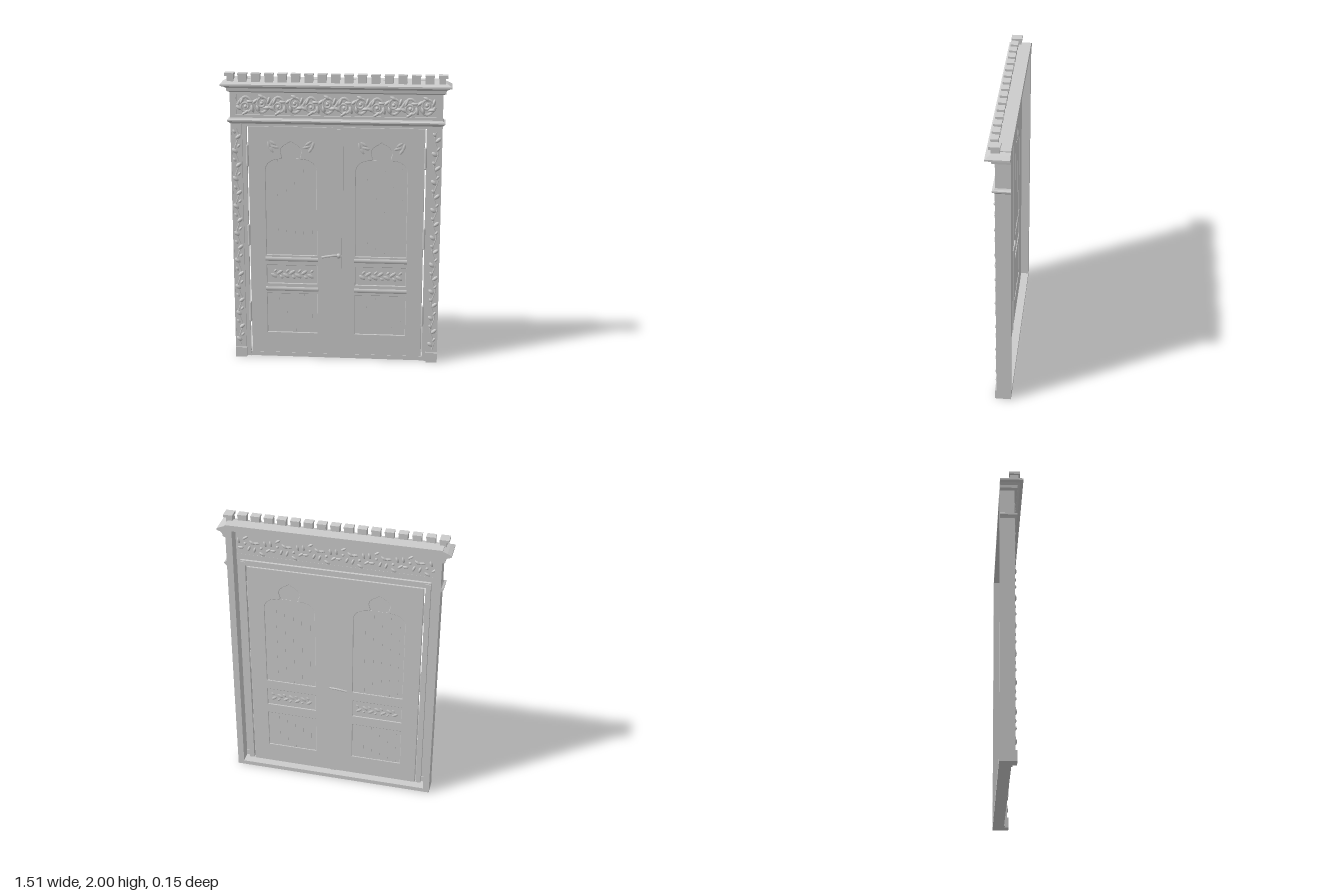
import * as THREE from 'three';

const mat = new THREE.MeshStandardMaterial({ color: 0xcccccc, side: THREE.DoubleSide });
const SIDES = [-1, 1];

function add(parent, name, geo, x = 0, y = 0, z = 0) {
  const m = new THREE.Mesh(geo, mat);
  m.name = name;
  m.position.set(x, y, z);
  parent.add(m);
  return m;
}

// box given by its limits
function slab(parent, name, x0, x1, y0, y1, z0, z1) {
  return add(parent, name, new THREE.BoxGeometry(Math.abs(x1 - x0), y1 - y0, z1 - z0),
    (x0 + x1) / 2, (y0 + y1) / 2, (z0 + z1) / 2);
}

function rect(x0, x1, y0, y1, Type = THREE.Shape) {
  return new Type([[x0, y0], [x1, y0], [x1, y1], [x0, y1]].map(p => new THREE.Vector2(...p)));
}

// plate with holes, between two depths
function plate(parent, name, shape, z0, z1, bevel = 0) {
  const geo = new THREE.ExtrudeGeometry(shape, {
    depth: z1 - z0 - 2 * bevel, curveSegments: 10, bevelEnabled: bevel > 0,
    bevelThickness: bevel, bevelSize: bevel, bevelOffset: -bevel, bevelSegments: 2,
  });
  return add(parent, name, geo, 0, 0, z0 + bevel);
}

const leafGeo = new THREE.SphereGeometry(1, 10, 8);
function leaf(parent, x, y, z, length, width, angle, thick) {
  const m = add(parent, 'carvedLeaf', leafGeo, x, y, z);
  m.scale.set(length, width, thick);
  m.rotation.z = angle;
}

function stem(parent, name, points, radius, segments = 24) {
  const curve = new THREE.CatmullRomCurve3(points.map(p => new THREE.Vector3(...p)));
  return add(parent, name, new THREE.TubeGeometry(curve, segments, radius, 6), 0, 0, 0);
}

// moulding of [outward, y] points, mitred around the front and both sides
function moulding(parent, name, profile) {
  const ring = ([o, y]) => [[-0.7 - o, y, -0.08], [-0.7 - o, y, 0.016 + o], [0.7 + o, y, 0.016 + o], [0.7 + o, y, -0.08]];
  const v = [];
  for (let i = 0; i < profile.length - 1; i++) {
    const a = ring(profile[i]), b = ring(profile[i + 1]);
    for (let j = 0; j < 3; j++) v.push(...a[j], ...a[j + 1], ...b[j + 1], ...a[j], ...b[j + 1], ...b[j]);
  }
  const geo = new THREE.BufferGeometry();
  geo.setAttribute('position', new THREE.Float32BufferAttribute(v, 3));
  geo.computeVertexNormals();
  add(parent, name, geo);
  // flat ends at the back
  for (const s of SIDES) {
    const pts = profile.map(([o, y]) => new THREE.Vector2(s * (0.7 + o), y));
    pts.push(new THREE.Vector2(s * 0.67, profile.at(-1)[1]), new THREE.Vector2(s * 0.67, profile[0][1]));
    add(parent, name + 'End', new THREE.ShapeGeometry(new THREE.Shape(pts)), 0, 0, -0.08).rotation.set(0, 0, 0);
  }
}

// arched opening with a rounded lobe on top, centred on cx
function archHole(cx) {
  const p = new THREE.Path();
  p.moveTo(cx - 0.172, 0.745);
  p.lineTo(cx + 0.172, 0.745);
  p.lineTo(cx + 0.172, 1.34);
  p.bezierCurveTo(cx + 0.168, 1.39, cx + 0.13, 1.415, cx + 0.065, 1.418);
  p.bezierCurveTo(cx + 0.055, 1.43, cx + 0.065, 1.44, cx + 0.07, 1.465);
  p.bezierCurveTo(cx + 0.07, 1.51, cx + 0.03, 1.515, cx, 1.54);
  p.bezierCurveTo(cx - 0.03, 1.515, cx - 0.07, 1.51, cx - 0.07, 1.465);
  p.bezierCurveTo(cx - 0.065, 1.44, cx - 0.055, 1.43, cx - 0.065, 1.418);
  p.bezierCurveTo(cx - 0.13, 1.415, cx - 0.168, 1.39, cx - 0.172, 1.34);
  p.closePath();
  return p;
}

function doorLeaf(s) {
  const g = new THREE.Group();
  g.name = s > 0 ? 'leftDoor' : 'rightDoor';
  const cx = s * 0.303, x0 = cx - 0.172, x1 = cx + 0.172;
  const inner = s > 0 ? 0.012 : -0.012;
  const shape = rect(Math.min(inner, s * 0.588), Math.max(inner, s * 0.588), 0.005, 1.64);
  shape.holes.push(archHole(cx), rect(x0, x1, 0.54, 0.67, THREE.Path), rect(x0, x1, 0.18, 0.465, THREE.Path));
  plate(g, 'doorFrame', shape, -0.026, -0.006, 0.003);
  slab(g, 'recessedPanel', x0 - 0.01, x1 + 0.01, 0.17, 1.55, -0.02, -0.016);

  // plank beads in the window and lower panel
  for (let i = -2; i <= 2; i++) {
    const x = cx + i * 0.058;
    for (const [y0, y1] of [[0.18, 0.465], [0.745, 1.42]]) slab(g, 'plankBead', x - 0.024, x + 0.024, y0, y1, -0.022, -0.0145);
  }
  // rounded sills between the panels
  for (const y of [0.715, 0.5]) {
    const sill = add(g, 'sill', new THREE.CylinderGeometry(1, 1, 0.36, 16), cx, y, -0.013);
    sill.rotation.z = Math.PI / 2;
    sill.scale.set(0.018, 1, 0.013);
  }
  // carving in the middle panel
  for (let i = 0; i < 7; i++) {
    const u = i - 3, up = i % 2 ? 1 : -1;
    leaf(g, cx + u * 0.042, 0.605 + up * 0.012, -0.017, 0.027, 0.012, up * 0.6, 0.007);
    leaf(g, cx + u * 0.042 + 0.01, 0.605 - up * 0.022, -0.017, 0.016, 0.009, -up * 0.8, 0.006);
  }
  // leaves in the corners above the arch
  for (const k of SIDES) for (let i = 0; i < 4; i++) {
    leaf(g, cx + k * (0.105 + i * 0.014), 1.5 + (i % 2) * 0.035 - i * 0.008, -0.01, 0.034, 0.012, k * (0.25 + i * 0.35), 0.007);
  }
  // hinges
  for (const y of [1.44, 0.885, 0.33]) {
    add(g, 'hinge', new THREE.CylinderGeometry(0.009, 0.009, 0.13, 10), s * 0.593, y, 0);
    for (const e of SIDES) add(g, 'hingeTip', new THREE.SphereGeometry(0.009, 8, 6), s * 0.593, y + e * 0.067, 0);
  }
  return g;
}

function pilaster(s) {
  const g = new THREE.Group();
  g.name = s > 0 ? 'leftPilaster' : 'rightPilaster';
  slab(g, 'pilasterFace', s * 0.625, s * 0.7, 0, 1.67, 0, 0.015);
  slab(g, 'pilasterBase', s * 0.622, s * 0.7, 0, 0.07, -0.005, 0.029);
  slab(g, 'jamb', s * 0.596, s * 0.63, 0, 1.67, -0.025, 0.002);
  for (const x of [0.629, 0.696]) slab(g, 'edgeBead', s * (x - 0.004), s * (x + 0.004), 0.07, 1.67, 0.005, 0.018);
  // climbing vine
  const vine = [];
  for (let i = 0; i <= 32; i++) vine.push([s * (0.662 + 0.014 * Math.sin(i * Math.PI / 2)), 0.09 + i * 0.048, 0.014]);
  stem(g, 'vine', vine, 0.005, 100);
  for (let i = 0; i < 16; i++) {
    const k = i % 2 ? 1 : -1, y = 0.13 + i * 0.096;
    leaf(g, s * 0.662 + k * 0.012, y, 0.014, 0.024, 0.013, k * 0.7, 0.014);
    leaf(g, s * 0.662 - k * 0.014, y + 0.035, 0.014, 0.016, 0.009, -k * 0.9, 0.01);
  }
  return g;
}

function frieze() {
  const g = new THREE.Group();
  g.name = 'frieze';
  const border = rect(-0.7, 0.7, 1.665, 1.885);
  border.holes.push(rect(-0.663, 0.663, 1.718, 1.856, THREE.Path));
  plate(g, 'friezeBorder', border, -0.004, 0.016);
  slab(g, 'friezePanel', -0.67, 0.67, 1.71, 1.865, -0.003, 0.002);
  // waving stem with a spiral and leaves in each bend
  const n = 12, step = 1.3 / n, wave = [];
  for (let i = 0; i <= n * 4; i++) wave.push([-0.65 + i * step / 4, 1.787 + 0.052 * Math.sin(i * Math.PI / 4), 0.008]);
  stem(g, 'scrollStem', wave, 0.01, 140);
  for (let i = 0; i < n; i++) {
    const up = i % 2 ? 1 : -1, cx = -0.65 + (i + 0.5) * step, cy = 1.787 + up * 0.012;
    const spiral = [];
    for (let k = 0; k <= 12; k++) {
      const a = up * (k * 0.65 + 0.3), r = 0.042 - k * 0.0026;
      spiral.push([cx + r * Math.cos(a), cy + r * Math.sin(a), 0.01 + k * 0.0006]);
    }
    stem(g, 'scroll', spiral, 0.008, 32);
    leaf(g, cx, cy, 0.01, 0.013, 0.013, 0, 0.022);
    for (let k = 0; k < 5; k++) {
      const a = up * (0.4 + k * 1.25);
      leaf(g, cx + 0.048 * Math.cos(a), cy + 0.042 * Math.sin(a), 0.007, 0.026, 0.011, a + up * 0.9, 0.018);
    }
  }
  return g;
}

function cornice() {
  const g = new THREE.Group();
  g.name = 'cornice';
  moulding(g, 'crownMoulding', [[0, 1.87], [0.018, 1.88], [0.02, 1.9], [0.035, 1.912], [0.056, 1.918], [0.056, 1.93], [0.03, 1.943], [-0.016, 1.96]]);
  slab(g, 'topCap', -0.7, 0.7, 1.945, 1.96, -0.08, 0.002);
  // tooth row, with flared corner teeth
  for (let i = -8; i <= 8; i++) {
    const x = i * 0.0872, end = Math.abs(i) === 8;
    if (!end) {
      slab(g, 'tooth', x - 0.028, x + 0.028, 1.93, 1.992, 0.002, 0.046);
      slab(g, 'toothCap', x - 0.03, x + 0.03, 1.988, 2, 0, 0.05);
    } else {
      const s = Math.sign(i);
      slab(g, 'cornerTooth', s * 0.67, s * 0.712, 1.93, 1.985, -0.015, 0.04);
      slab(g, 'cornerToothCap', s * 0.668, s * 0.728, 1.982, 2, -0.02, 0.052);
    }
  }
  return g;
}

export function createModel() {
  const model = new THREE.Group();
  model.name = 'doubleDoor';

  // deep surround, open at the back
  const surround = rect(-0.7, 0.7, 0, 1.95);
  surround.holes.push(rect(-0.657, 0.657, 0.03, 1.92, THREE.Path));
  plate(model, 'surround', surround, -0.08, -0.004);
  slab(model, 'threshold', -0.63, 0.63, 0, 0.03, -0.03, -0.007);
  slab(model, 'lintel', -0.63, 0.63, 1.642, 1.68, -0.02, 0.004);
  moulding(model, 'friezeLedge', [[0, 1.66], [0.006, 1.668], [0.018, 1.678], [0.018, 1.687], [0.006, 1.692], [0, 1.7]]);
  model.add(frieze(), cornice());
  for (const s of SIDES) {
    model.add(pilaster(s), doorLeaf(s));
    slab(model, 'sideWall', s * 0.657, s * 0.7, 0, 1.87, -0.01, 0.014);
  }

  // strip covering the meeting edges, and a slimmer one behind
  slab(model, 'meetingStrip', -0.02, 0.048, 0.005, 1.64, -0.02, 0.001);
  slab(model, 'meetingBead', -0.006, 0.03, 0.07, 1.63, -0.01, 0.005);
  slab(model, 'rearStrip', -0.015, 0.02, 0.03, 1.64, -0.03, -0.015);

  // handle
  slab(model, 'handlePlate', 0, 0.036, 0.66, 0.88, 0, 0.008);
  stem(model, 'handleLever', [[0.035, 0.75, 0.012], [0, 0.758, 0.02], [-0.05, 0.752, 0.02], [-0.095, 0.742, 0.015]], 0.008);
  add(model, 'handleBoss', new THREE.SphereGeometry(0.017, 12, 8), 0.018, 0.753, 0.01);
  stem(model, 'rearLever', [[0.03, 0.755, -0.028], [-0.03, 0.757, -0.034], [-0.09, 0.745, -0.03]], 0.007);
  return model;
}
